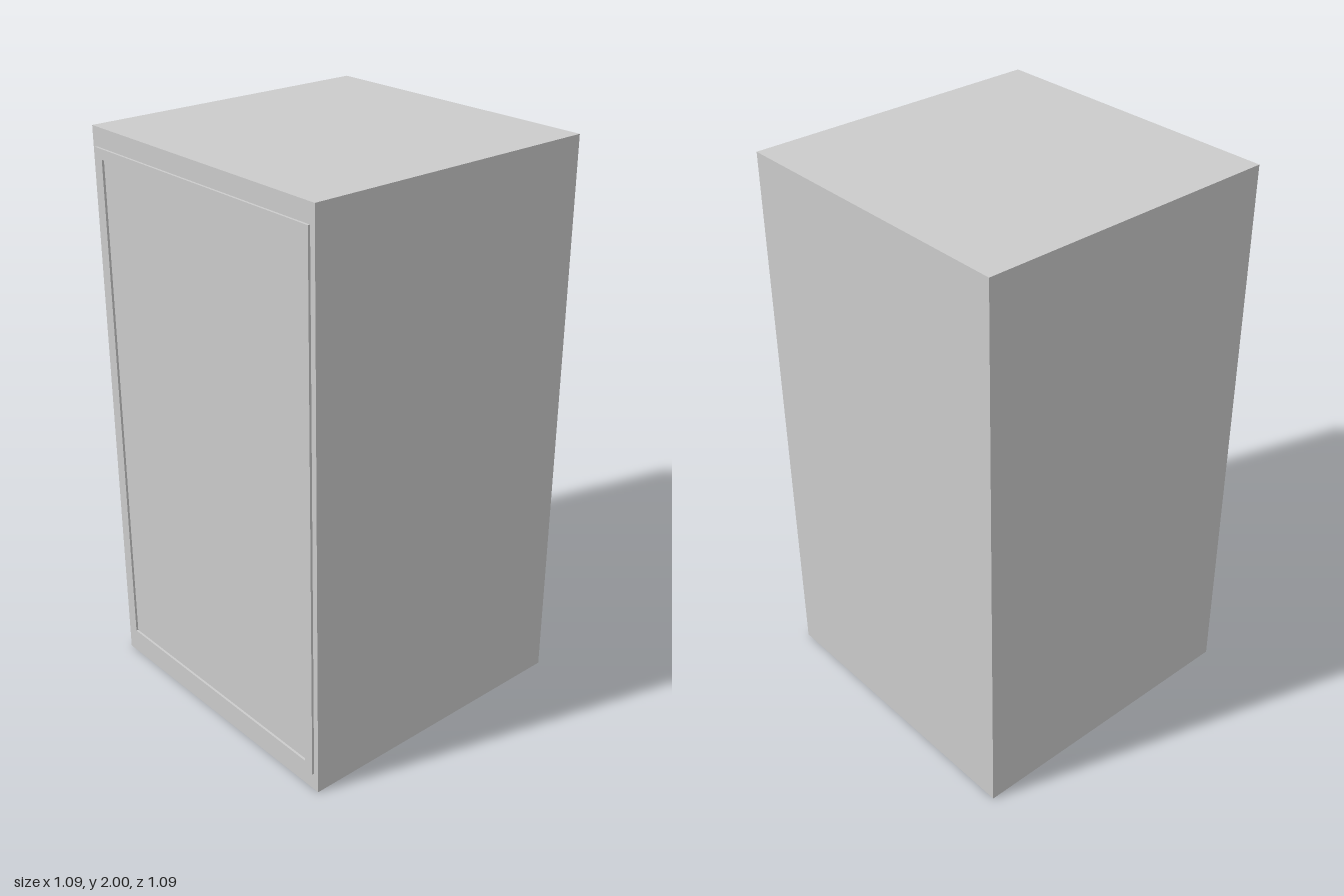
import * as THREE from 'three';

export function createModel() {
  const group = new THREE.Group();
  const material = new THREE.MeshStandardMaterial({ color: 0xcccccc, flatShading: true });
  const back = -0.545, front = 0.537, faceZ = 0.545;

  // Plain cabinet block
  const body = new THREE.Mesh(new THREE.BoxGeometry(1.09, 2, front - back), material);
  body.name = 'cabinetBody';
  body.position.set(0, 1, (front + back) / 2);
  group.add(body);

  // Thin raised border around the front panel
  const rectangle = (Type, halfWidth, bottom, top) => new Type([
    new THREE.Vector2(-halfWidth, bottom),
    new THREE.Vector2(halfWidth, bottom),
    new THREE.Vector2(halfWidth, top),
    new THREE.Vector2(-halfWidth, top),
  ]);
  const border = rectangle(THREE.Shape, 0.525, 0.065, 1.935);
  border.holes.push(rectangle(THREE.Path, 0.49, 0.1, 1.9));
  const frame = new THREE.Mesh(
    new THREE.ExtrudeGeometry(border, { depth: faceZ - front, bevelEnabled: false }),
    material,
  );
  frame.name = 'frontFrame';
  frame.position.z = front;
  group.add(frame);

  return group;
}
